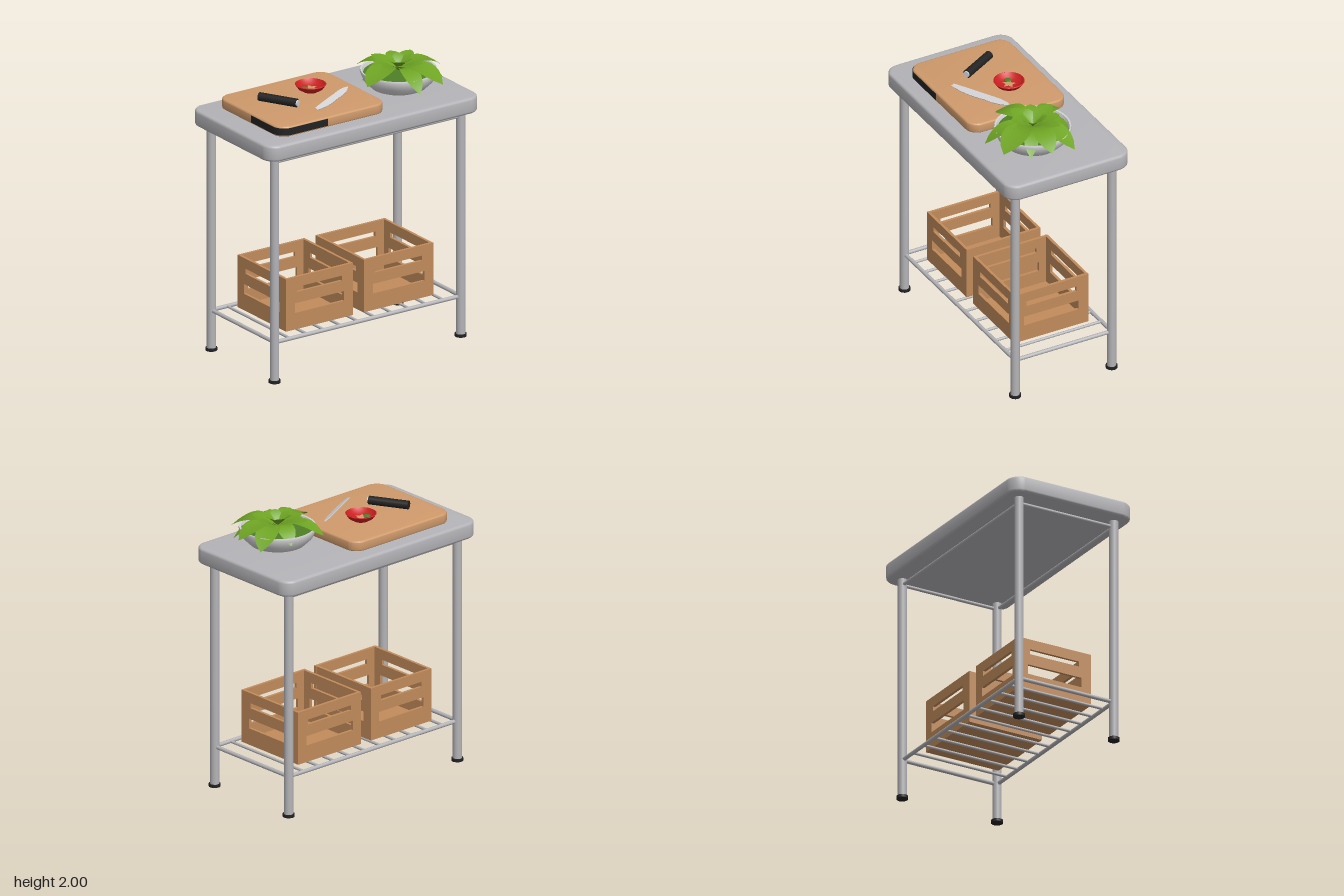
import * as THREE from 'three';
import { toCreasedNormals } from 'three/addons/utils/BufferGeometryUtils.js';

const mat = (name, color, side = THREE.FrontSide) => {
  const m = new THREE.MeshStandardMaterial({ color, side });
  m.name = name;
  return m;
};

export function createModel() {
  const root = new THREE.Group();
  root.name = 'kitchenTrolley';
  const metal = mat('grey metal', 0xb4b4b8);
  const white = mat('pale grey', 0xd2d2d4, THREE.DoubleSide);
  const boardWood = mat('board wood', 0xcf9a6b);
  const crateWood = mat('crate wood', 0xc18b5b);
  const black = mat('black', 0x222222);
  const leafGreen = mat('leaf green', 0x6fa524, THREE.DoubleSide);
  const darkGreen = mat('dark green', 0x4f7f25);
  const red = mat('tomato red', 0xcc2020, THREE.DoubleSide);

  const add = (name, geo, material, parent = root) => {
    const m = new THREE.Mesh(geo, material);
    m.name = name;
    parent.add(m);
    return m;
  };

  const roundRect = (x0, x1, y0, y1, r) => {
    const s = new THREE.Shape();
    s.absarc(x1 - r, y0 + r, r, -Math.PI / 2, 0);
    s.absarc(x1 - r, y1 - r, r, 0, Math.PI / 2);
    s.absarc(x0 + r, y1 - r, r, Math.PI / 2, Math.PI);
    s.absarc(x0 + r, y0 + r, r, Math.PI, Math.PI * 1.5);
    return s;
  };

  // Flat slab with rounded corners and softened edges
  const slab = (x0, x1, z0, z1, y0, y1, r, b) => {
    const shape = roundRect(x0 + b, x1 - b, -z1 + b, -z0 - b, r - b);
    const g = new THREE.ExtrudeGeometry(shape, {
      depth: y1 - y0 - 2 * b, bevelThickness: b, bevelSize: b, bevelSegments: 3, curveSegments: 8,
    });
    g.rotateX(-Math.PI / 2).translate(0, y0 + b, 0);
    return toCreasedNormals(g, 0.7);
  };

  // Round bar between two points
  const bar = (name, a, b, r, material = metal, parent = root) => {
    const p = new THREE.Vector3(...a), q = new THREE.Vector3(...b);
    const m = add(name, new THREE.CylinderGeometry(r, r, p.distanceTo(q), 16), material, parent);
    m.position.copy(p).lerp(q, 0.5);
    m.quaternion.setFromUnitVectors(new THREE.Vector3(0, 1, 0), q.sub(p).normalize());
    return m;
  };

  // Table top, legs, feet and rails
  add('tableTop', slab(-0.88, 0.88, -0.48, 0.48, 1.64, 1.755, 0.1, 0.018), metal);
  const LX = 0.77, LZ = 0.375;
  for (const sx of [-1, 1]) {
    for (const sz of [-1, 1]) {
      bar('leg', [sx * LX, 0.015, sz * LZ], [sx * LX, 1.645, sz * LZ], 0.032);
      bar('foot', [sx * LX, 0, sz * LZ], [sx * LX, 0.02, sz * LZ], 0.041, black);
    }
  }
  for (const [y, r, name] of [[1.6, 0.012, 'upperRail'], [0.29, 0.014, 'shelfRail']]) {
    for (const s of [-1, 1]) {
      bar(name, [-LX, y, s * LZ], [LX, y, s * LZ], r);
      bar(name, [s * LX, y, -LZ], [s * LX, y, LZ], r);
    }
  }
  for (let i = 0; i < 10; i++) {
    const x = -0.64 + i * 0.141;
    bar('shelfBar', [x, 0.29, -LZ], [x, 0.29, LZ], 0.01);
  }

  // Open crates with two slots in every wall
  const T = 0.02, H = 0.38, D = 0.575;
  const crateWall = (w) => {
    const s = new THREE.Shape();
    s.moveTo(-w / 2, 0).lineTo(w / 2, 0).lineTo(w / 2, H).lineTo(-w / 2, H).closePath();
    for (const [hw, y0, y1] of [[w / 2 - 0.075, 0.12, 0.19], [w / 2 - 0.092, 0.27, 0.307]]) {
      const h = new THREE.Path();
      h.moveTo(-hw, y0).lineTo(-hw, y1).lineTo(hw, y1).lineTo(hw, y0).closePath();
      s.holes.push(h);
    }
    return new THREE.ExtrudeGeometry(s, { depth: T, bevelEnabled: false }).translate(0, 0, -T / 2);
  };
  const crate = (x0, x1) => {
    const g = new THREE.Group(), w = x1 - x0;
    g.name = 'crate';
    g.position.set((x0 + x1) / 2, 0.305, 0);
    for (const s of [-1, 1]) {
      add('crateLongWall', crateWall(w), crateWood, g).position.z = s * (D - T) / 2;
      const side = add('crateSideWall', crateWall(D - 0.002), crateWood, g);
      side.rotation.y = Math.PI / 2;
      side.position.x = s * (w - T - 0.002) / 2;
    }
    add('crateFloor', new THREE.BoxGeometry(w - T, T, D - T), crateWood, g).position.y = T / 2;
    root.add(g);
  };
  crate(-0.615, -0.06);
  crate(0.03, 0.605);

  // Cutting board with a dark grip round its front corner
  add('cuttingBoard', slab(-0.72, 0.165, -0.38, 0.375, 1.757, 1.83, 0.09, 0.012), boardWood);
  const grip = new THREE.Shape();
  grip.moveTo(-0.33, -0.378).lineTo(-0.63, -0.378);
  grip.absarc(-0.63, -0.285, 0.093, Math.PI * 1.5, Math.PI, true);
  grip.lineTo(-0.723, -0.03).lineTo(-0.718, -0.03).lineTo(-0.718, -0.285);
  grip.absarc(-0.63, -0.285, 0.088, Math.PI, Math.PI * 1.5, false);
  grip.lineTo(-0.33, -0.373).closePath();
  const gripGeo = new THREE.ExtrudeGeometry(grip, { depth: 0.05, bevelEnabled: false, curveSegments: 8 });
  add('boardGrip', gripGeo.rotateX(-Math.PI / 2).translate(0, 1.769, 0), black);

  // Knife handle with metal collar, and loose blade
  bar('knifeHandle', [-0.53, 1.86, -0.15], [-0.392, 1.86, 0.1], 0.03, black);
  bar('handleCollar', [-0.394, 1.86, 0.097], [-0.387, 1.86, 0.109], 0.022, white);
  const blade = new THREE.Shape();
  blade.moveTo(-0.235, -0.01);
  blade.quadraticCurveTo(-0.1, -0.038, 0.04, -0.024);
  blade.quadraticCurveTo(0.17, -0.03, 0.235, 0.004);
  blade.quadraticCurveTo(0.2, 0.028, 0.06, 0.02);
  blade.quadraticCurveTo(-0.1, 0.018, -0.225, 0.012);
  blade.closePath();
  const bladeGeo = new THREE.ExtrudeGeometry(blade, { depth: 0.006, bevelEnabled: false });
  bladeGeo.rotateX(-Math.PI / 2 + 0.5).rotateY(0.474);
  add('knifeBlade', bladeGeo, white).position.set(-0.13, 1.846, 0.138);

  // Hollow tomato half
  const tomato = new THREE.Group();
  tomato.name = 'tomatoHalf';
  tomato.position.set(-0.147, 1.83, -0.09);
  root.add(tomato);
  const lathe = (pts, n = 32) =>
    toCreasedNormals(new THREE.LatheGeometry(pts.map(([x, y]) => new THREE.Vector2(x, y)), n), 0.7);
  add('tomatoSkin', lathe([[0.001, 0.002], [0.05, 0.004], [0.085, 0.025], [0.107, 0.056],
    [0.1, 0.06], [0.08, 0.034], [0.04, 0.022], [0.001, 0.02]]), red, tomato);
  const star = new THREE.Shape();
  for (let i = 0; i < 10; i++) {
    const a = i * Math.PI / 5, r = i % 2 ? 0.025 : 0.05;
    star[i ? 'lineTo' : 'moveTo'](r * Math.cos(a), r * Math.sin(a));
  }
  add('tomatoCore', new THREE.ShapeGeometry(star).rotateX(-Math.PI / 2), boardWood, tomato).position.y = 0.029;
  const stem = add('tomatoStem', new THREE.SphereGeometry(0.026, 12, 8), darkGreen, tomato);
  stem.scale.y = 0.3;
  stem.position.set(-0.042, 0.03, -0.015);

  // Plant bowl and filling
  const plant = new THREE.Group();
  plant.name = 'pottedPlant';
  plant.position.set(0.47, 0, 0.07);
  root.add(plant);
  add('plantBowl', lathe([[0.001, 1.757], [0.13, 1.765], [0.19, 1.79], [0.24, 1.84], [0.265, 1.9],
    [0.262, 1.912], [0.25, 1.91], [0.235, 1.87]], 40), white, plant);
  add('bowlFilling', new THREE.CircleGeometry(0.245, 32).rotateX(-Math.PI / 2), darkGreen, plant).position.y = 1.888;

  // Arched leaf: tip offset, half width, and height curve y0 + a*t - b*t*t
  const leaf = (dx, dz, hw, y0, a, b) => {
    const g = new THREE.PlaneGeometry(1, 1, 4, 9), p = g.attributes.position;
    const len = Math.hypot(dx, dz);
    for (let i = 0; i < p.count; i++) {
      const u = p.getX(i) * 2, t = p.getY(i) + 0.5;
      const w = hw * (0.18 * (1 - t) + Math.sin(Math.PI * Math.pow(t, 1.4)) ** 0.75);
      p.setXYZ(i, u * (w || 0), y0 + a * t - b * t * t + 0.18 * hw * u * u * (1 - t), -t * len);
    }
    g.rotateY(Math.atan2(-dx, -dz));
    g.computeVertexNormals();
    add('leaf', g, leafGreen, plant);
  };
  const outer = [[-0.16, -0.29, 0.065], [0.1, -0.25, 0.06], [0.3, -0.16, 0.075], [0.33, 0.03, 0.07],
    [0.15, 0.31, 0.09], [-0.06, 0.34, 0.06], [-0.33, 0.1, 0.085], [-0.26, -0.06, 0.06], [0.26, 0.16, 0.05]];
  outer.forEach(([x, z, w], i) => leaf(x, z, w, 1.9, 0.25, 0.27 + 0.02 * (i % 3)));
  for (let i = 0; i < 8; i++) {
    const a = i * Math.PI / 4 + 0.3, l = 0.17 + 0.03 * (i % 2);
    leaf(l * Math.cos(a), l * Math.sin(a) - 0.02, 0.05, 1.905, 0.14, 0.07);
  }
  for (let i = 0; i < 6; i++) {
    const a = i * Math.PI / 3, l = 0.1;
    leaf(l * Math.cos(a), l * Math.sin(a), 0.035, 1.91, 0.13, 0.045);
  }
  return root;
}
